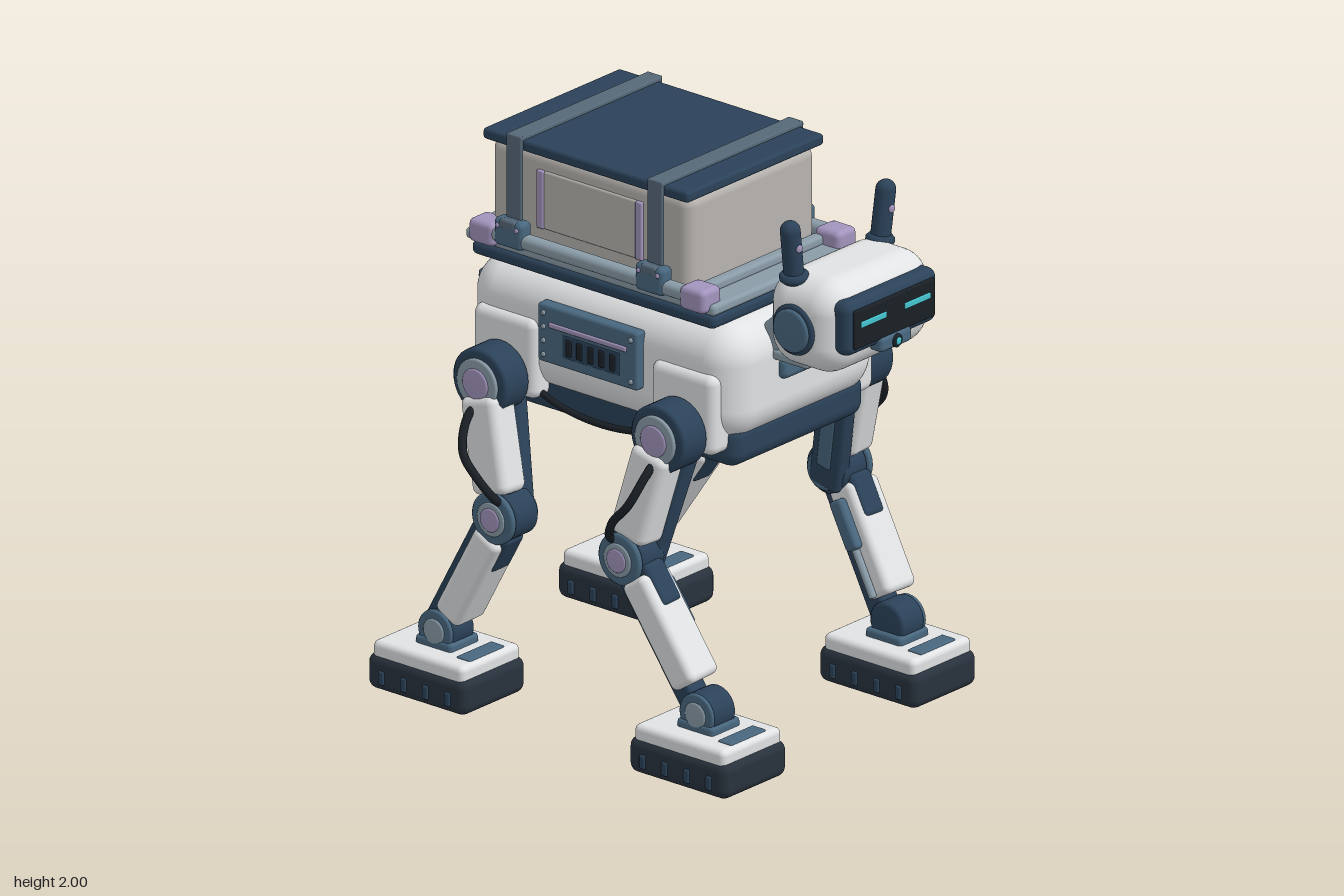
import * as THREE from 'three';
import { RoundedBoxGeometry } from 'three/addons/geometries/RoundedBoxGeometry.js';

const WHITE = 0xe0e2e4, GREY = 0xb8b4b0, LIGHT = 0x8a9ca8, SLATE = 0x48677f, NAVY = 0x2b4259,
  STRAP = 0x566878, SOLE = 0x28323d, PURPLE = 0xa294bd, CYAN = 0x45c4d0, BLACK = 0x1a2026;
const mats = {};
const mat = (color) => (mats[color] ??= new THREE.MeshStandardMaterial({ color }));
const V = (x, y, z) => new THREE.Vector3(x, y, z);

function add(parent, name, geo, color, x, y, z) {
  const m = new THREE.Mesh(geo, mat(color));
  m.name = name;
  m.position.set(x, y, z);
  parent.add(m);
  return m;
}
function box(parent, name, color, w, h, d, x, y, z, r = 0.012, seg = 2) {
  r = Math.min(r, w * 0.45, h * 0.45, d * 0.45);
  return add(parent, name, new RoundedBoxGeometry(w, h, d, seg, r), color, x, y, z);
}
// Round-edged disc or drum along an axis
function drum(parent, name, color, r, len, x, y, z, axis = 'x') {
  const b = Math.min(0.012, len * 0.3, r * 0.3), h = len / 2;
  const pts = [[0, -h], [r - b, -h], [r, -h + b], [r, h - b], [r - b, h], [0, h]].map((p) => new THREE.Vector2(...p));
  const m = add(parent, name, new THREE.LatheGeometry(pts, 32), color, x, y, z);
  if (axis === 'x') m.rotation.z = Math.PI / 2;
  if (axis === 'z') m.rotation.x = Math.PI / 2;
  return m;
}
function tube(parent, name, color, pts, r) {
  const curve = new THREE.CatmullRomCurve3(pts.map((p) => V(...p)));
  return add(parent, name, new THREE.TubeGeometry(curve, 32, r, 10), color, 0, 0, 0);
}
// Group whose origin is at the low joint, local y pointing to the high joint
function limb(parent, name, low, high) {
  const g = new THREE.Group();
  g.name = name;
  const y = high.clone().sub(low).normalize();
  const x = V(1, 0, 0).addScaledVector(y, -y.x).normalize();
  g.quaternion.setFromRotationMatrix(new THREE.Matrix4().makeBasis(x, y, x.clone().cross(y)));
  g.position.copy(low);
  parent.add(g);
  return g;
}

function leg(parent, name, s, hipZ, kneeZ, ankleZ) {
  const g = new THREE.Group();
  g.name = name;
  parent.add(g);
  const X = (v) => s * v;
  // Hip joint
  drum(g, 'hipAxle', SLATE, 0.085, 0.16, X(0.38), 1.16, hipZ);
  drum(g, 'hipDrum', NAVY, 0.12, 0.13, X(0.48), 1.16, hipZ);
  drum(g, 'hipRing', LIGHT, 0.088, 0.02, X(0.55), 1.16, hipZ);
  drum(g, 'hipHub', PURPLE, 0.056, 0.02, X(0.558), 1.16, hipZ);
  // Thigh: outer shell and inner frame
  const knee = V(X(0.535), 0.715, kneeZ), hip = V(X(0.5), 1.16, hipZ);
  const len = hip.distanceTo(knee);
  const thigh = limb(g, 'thigh', knee, hip);
  box(thigh, 'thighShell', WHITE, 0.125, 0.34, 0.155, X(0.012), len * 0.53, 0, 0.03, 3);
  box(thigh, 'thighCore', NAVY, 0.08, len, 0.1, 0, len / 2, 0, 0.02);
  const frame = limb(g, 'thighFrame', V(X(0.475), 0.66, kneeZ), V(X(0.4), 1.13, hipZ));
  box(frame, 'innerFrame', NAVY, 0.07, 0.46, 0.13, 0, 0.23, 0, 0.02);
  box(frame, 'innerPlate', SLATE, 0.02, 0.26, 0.06, X(-0.032), 0.22, 0);
  // Knee joint
  drum(g, 'kneeDrum', NAVY, 0.088, 0.125, X(0.52), 0.715, kneeZ);
  drum(g, 'kneeCap', SLATE, 0.092, 0.03, X(0.592), 0.715, kneeZ);
  drum(g, 'kneeRing', LIGHT, 0.06, 0.015, X(0.607), 0.715, kneeZ);
  drum(g, 'kneeHub', PURPLE, 0.042, 0.015, X(0.613), 0.715, kneeZ);
  drum(g, 'kneeInnerCap', SLATE, 0.07, 0.02, X(0.452), 0.715, kneeZ);
  // Shin
  const ankle = V(X(0.512), 0.23, ankleZ);
  const shin = limb(g, 'shin', ankle, knee);
  const sl = ankle.distanceTo(knee);
  box(shin, 'shinShell', WHITE, 0.15, 0.4, 0.115, X(0.008), sl * 0.52, 0.018, 0.025, 3);
  box(shin, 'shinCore', NAVY, 0.09, sl, 0.08, 0, sl / 2, -0.035, 0.015);
  box(shin, 'kneeGuard', NAVY, 0.1, 0.16, 0.05, 0, sl * 0.78, 0.058, 0.02);
  box(shin, 'shinActuator', SLATE, 0.04, 0.18, 0.06, X(-0.082), sl * 0.64, 0.01, 0.015);
  drum(shin, 'actuatorRod', LIGHT, 0.014, 0.2, X(-0.08), sl * 0.35, 0.01, 'y');
  // Ankle
  drum(g, 'ankleDrum', NAVY, 0.076, 0.12, X(0.512), 0.23, ankleZ);
  drum(g, 'ankleCap', SLATE, 0.074, 0.02, X(0.57), 0.23, ankleZ);
  drum(g, 'ankleHub', LIGHT, 0.046, 0.02, X(0.577), 0.23, ankleZ);
  box(g, 'ankleBracket', SLATE, 0.15, 0.05, 0.16, X(0.512), 0.18, ankleZ, 0.015);
  // Foot
  box(g, 'sole', SOLE, 0.33, 0.13, 0.435, X(0.515), 0.066, ankleZ, 0.035, 3);
  box(g, 'footShell', WHITE, 0.305, 0.075, 0.4, X(0.515), 0.138, ankleZ, 0.022, 3);
  box(g, 'toePlate', SLATE, 0.18, 0.015, 0.06, X(0.515), 0.174, ankleZ + 0.15, 0.006);
  for (let i = 0; i < 4; i++)
    for (const e of [-1, 1])
      box(g, 'tread', NAVY, 0.02, 0.05, 0.025, X(0.515) + e * 0.163, 0.055, ankleZ - 0.145 + i * 0.097, 0.006);
  // Cable from hip to knee
  const k = kneeZ - hipZ;
  tube(g, 'legCable', BLACK, [[X(0.53), 1.1, hipZ], [X(0.6), 1.05, hipZ - k * 0.02], [X(0.655), 0.95, hipZ + k * 0.25],
    [X(0.655), 0.87, hipZ + k * 0.85], [X(0.61), 0.79, hipZ + k * 1.25], [X(0.57), 0.77, hipZ + k * 1.2]], 0.015);
}

function sidePanel(parent, s) {
  const g = new THREE.Group();
  g.name = 'sidePanel';
  parent.add(g);
  box(g, 'panelPlate', SLATE, 0.05, 0.21, 0.44, s * 0.405, 1.355, -0.095);
  box(g, 'panelStripe', PURPLE, 0.015, 0.018, 0.34, s * 0.43, 1.392, -0.09, 0.004);
  box(g, 'ventRecess', NAVY, 0.008, 0.08, 0.25, s * 0.43, 1.33, -0.075, 0.003);
  for (let i = 0; i < 5; i++) box(g, 'vent', BLACK, 0.015, 0.06, 0.025, s * 0.432, 1.33, 0.02 - i * 0.048, 0.006);
  for (let i = 0; i < 4; i++) drum(g, 'bolt', LIGHT, 0.009, 0.014, s * 0.431, 1.28 + i * 0.05, -0.285);
  for (const y of [1.28, 1.43]) drum(g, 'bolt', LIGHT, 0.009, 0.014, s * 0.431, y, 0.1);
}

function head(parent) {
  const g = new THREE.Group();
  g.name = 'head';
  parent.add(g);
  box(g, 'headShell', WHITE, 0.55, 0.335, 0.325, 0, 1.583, 0.697, 0.11, 5);
  box(g, 'visorFrame', NAVY, 0.47, 0.195, 0.09, 0, 1.603, 0.845, 0.035, 3);
  box(g, 'screen', BLACK, 0.415, 0.14, 0.02, 0, 1.603, 0.888, 0.008);
  box(g, 'sensorBox', SLATE, 0.16, 0.055, 0.06, 0, 1.512, 0.875, 0.015);
  drum(g, 'sensorRing', BLACK, 0.024, 0.02, 0, 1.51, 0.903, 'z');
  drum(g, 'sensorLens', CYAN, 0.014, 0.02, 0, 1.51, 0.907, 'z');
  for (const s of [-1, 1]) {
    box(g, 'eye', CYAN, 0.132, 0.022, 0.012, s * 0.112, 1.617, 0.897, 0.004);
    drum(g, 'earDiscBase', NAVY, 0.09, 0.03, s * 0.272, 1.575, 0.685);
    drum(g, 'earDisc', SLATE, 0.077, 0.03, s * 0.286, 1.575, 0.685);
    // Antenna
    const a = limb(g, 'antenna', V(s * 0.22, 1.73, 0.64), V(s * 0.25, 1.945, 0.645));
    add(a, 'antennaRod', new THREE.CapsuleGeometry(0.035, 0.17, 8, 20), NAVY, 0, 0.1, 0);
    drum(a, 'antennaBase', NAVY, 0.05, 0.035, 0, 0.01, 0, 'y');
    drum(a, 'antennaLight', PURPLE, 0.014, 0.015, 0, 0.125, 0.034, 'z');
  }
  // Neck and collar
  const n = limb(g, 'neck', V(0, 1.39, 0.42), V(0, 1.56, 0.6));
  box(n, 'neckBlock', LIGHT, 0.35, 0.27, 0.12, 0, 0.12, 0, 0.03, 3);
  box(n, 'neckCover', SLATE, 0.24, 0.16, 0.04, 0, 0.1, 0.055, 0.015);
  box(n, 'neckTopCover', SLATE, 0.22, 0.16, 0.04, 0, 0.12, -0.055, 0.015);
  box(g, 'collar', SLATE, 0.3, 0.08, 0.1, 0, 1.35, 0.49, 0.025, 3);
  box(g, 'chin', LIGHT, 0.36, 0.04, 0.16, 0, 1.41, 0.58, 0.015);
}

function cargo(parent) {
  const g = new THREE.Group();
  g.name = 'cargo';
  parent.add(g);
  // Deck and rails
  box(g, 'deckBase', NAVY, 0.74, 0.05, 1.07, 0, 1.55, -0.125, 0.02);
  box(g, 'deckPlate', LIGHT, 0.73, 0.04, 1.1, 0, 1.592, -0.14, 0.015);
  for (const s of [-1, 1]) {
    box(g, 'rail', LIGHT, 0.055, 0.05, 0.95, s * 0.365, 1.63, -0.12, 0.02);
    for (const z of [0.335, -0.595]) box(g, 'railEnd', PURPLE, 0.1, 0.085, 0.11, s * 0.348, 1.624, z, 0.02);
  }
  for (const z of [0.3, -0.64]) box(g, 'crossRail', LIGHT, 0.62, 0.04, 0.045, 0, 1.625, z, 0.015);
  // Container and lid
  box(g, 'container', GREY, 0.66, 0.36, 0.88, 0, 1.775, -0.17, 0.045, 4);
  box(g, 'lid', NAVY, 0.705, 0.04, 0.905, 0, 1.965, -0.17, 0.012);
  for (const s of [-1, 1]) {
    box(g, 'containerPanel', GREY, 0.02, 0.21, 0.41, s * 0.327, 1.785, -0.162, 0.008);
    for (const z of [0.055, -0.38]) box(g, 'containerStripe', PURPLE, 0.02, 0.21, 0.03, s * 0.332, 1.785, z, 0.006);
  }
  // Straps and buckles
  for (const z of [0.147, -0.475]) {
    box(g, 'strapTop', STRAP, 0.73, 0.018, 0.068, 0, 1.99, z, 0.006);
    for (const s of [-1, 1]) {
      box(g, 'strapSide', STRAP, 0.016, 0.36, 0.066, s * 0.357, 1.82, z, 0.005);
      box(g, 'buckle', SLATE, 0.06, 0.1, 0.125, s * 0.368, 1.65, z, 0.018);
      box(g, 'buckleBar', STRAP, 0.03, 0.035, 0.07, s * 0.385, 1.685, z, 0.01);
      for (const e of [-1, 1]) drum(g, 'buckleBolt', PURPLE, 0.008, 0.01, s * 0.399, 1.675, z + e * 0.042);
    }
  }
}

function rear(parent) {
  const g = new THREE.Group();
  g.name = 'rear';
  parent.add(g);
  box(g, 'rearPlate', SLATE, 0.55, 0.22, 0.045, 0, 1.32, -0.69, 0.015);
  for (const s of [-1, 1]) for (const y of [1.24, 1.4]) drum(g, 'rearBolt', LIGHT, 0.012, 0.012, s * 0.25, y, -0.713, 'z');
  // Tow hitch
  box(g, 'hitchMount', LIGHT, 0.13, 0.1, 0.14, 0, 1.13, -0.68, 0.015);
  box(g, 'hitchArm', LIGHT, 0.065, 0.03, 0.1, 0, 1.185, -0.775, 0.01);
  for (const s of [-1, 1]) drum(g, 'hitchBolt', PURPLE, 0.013, 0.02, s * 0.045, 1.13, -0.748, 'z');
  const ring = add(g, 'hitchRing', new THREE.TorusGeometry(0.042, 0.014, 10, 24), NAVY, 0, 1.13, -0.8);
  ring.scale.y = 1.15;
}

export function createModel() {
  const model = new THREE.Group();
  model.name = 'robotQuadruped';
  // Torso
  box(model, 'torso', WHITE, 0.79, 0.42, 1.19, 0, 1.32, -0.083, 0.13, 6);
  box(model, 'belly', NAVY, 0.69, 0.16, 1.115, 0, 1.105, -0.078, 0.055, 4);
  for (const s of [-1, 1]) {
    for (const z of [0.31, -0.475]) box(model, 'hipHousing', WHITE, 0.11, 0.29, 0.28, s * 0.365, 1.232, z, 0.035, 3);
    sidePanel(model, s);
    tube(model, 'bellyCable', BLACK, [[s * 0.37, 1.13, 0.24], [s * 0.38, 1.085, 0.1], [s * 0.38, 1.065, -0.08],
      [s * 0.38, 1.085, -0.26], [s * 0.37, 1.13, -0.4]], 0.012);
    const side = s > 0 ? 'left' : 'right', step = s > 0 ? 0 : 0.047;
    leg(model, side + 'FrontLeg', s, 0.31, 0.193, 0.465 + step);
    leg(model, side + 'BackLeg', s, -0.475, -0.365, -0.688 + step);
  }
  head(model);
  cargo(model);
  rear(model);
  return model;
}
